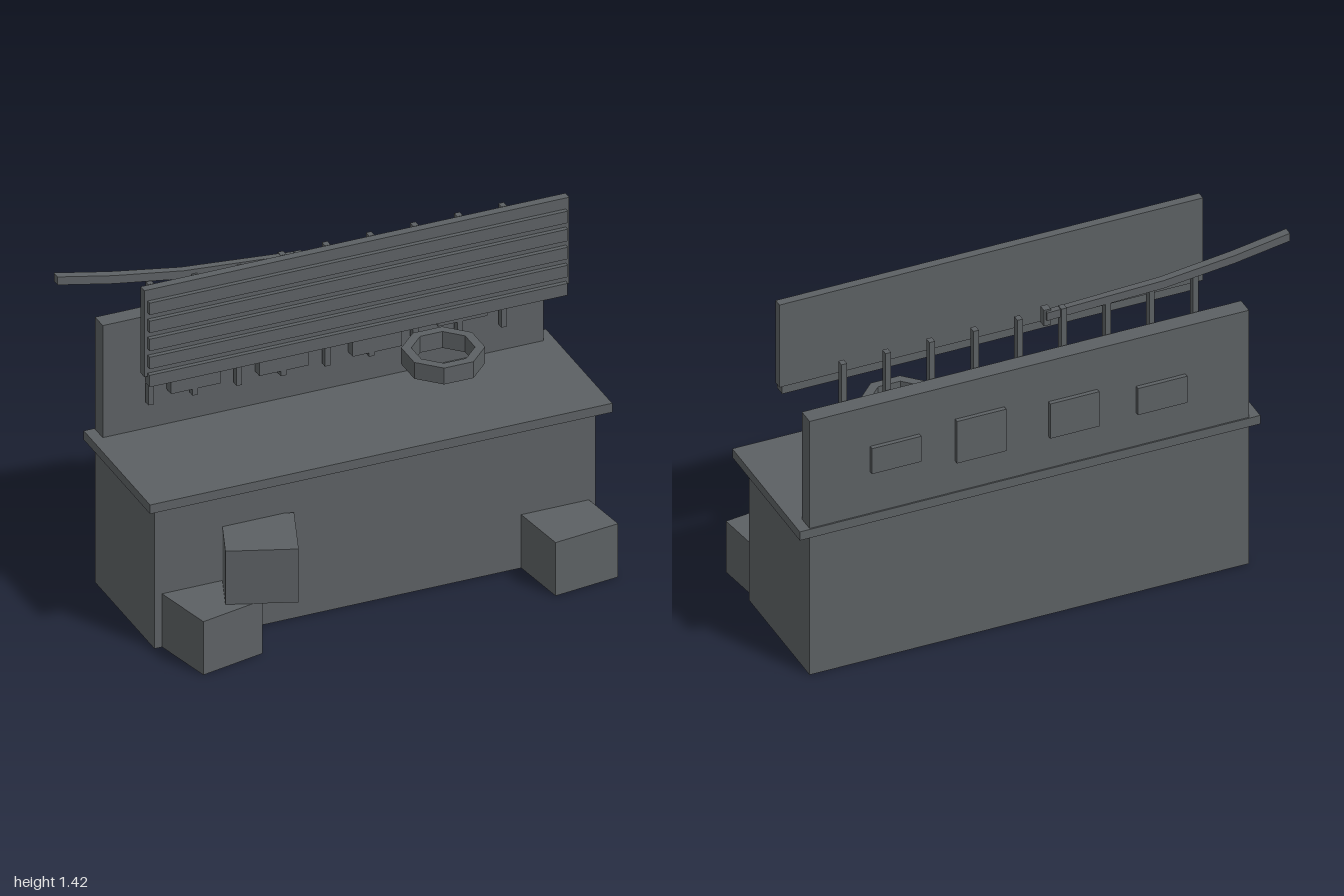
import * as THREE from 'three';

const grey = new THREE.MeshStandardMaterial({ color: 0x5c6063 });
grey.name = 'slateGrey';

export function createModel() {
  const model = new THREE.Group();
  model.name = 'marketStall';

  const add = (name, geometry) => {
    const mesh = new THREE.Mesh(geometry, grey);
    mesh.name = name;
    model.add(mesh);
    return mesh;
  };
  // Box given by its limits on each axis
  const box = (name, x0, x1, y0, y1, z0, z1) => {
    const mesh = add(name, new THREE.BoxGeometry(x1 - x0, y1 - y0, z1 - z0));
    mesh.position.set((x0 + x1) / 2, (y0 + y1) / 2, (z0 + z1) / 2);
    return mesh;
  };

  // Counter and rear wall
  box('counterBase', -0.812, 0.956, 0, 0.604, -0.394, 0.142);
  box('counterTop', -0.855, 0.998, 0.609, 0.647, -0.4, 0.2);
  box('rearWall', -0.812, 0.956, 0.604, 1.12, -0.394, -0.325);

  // Hanging board with horizontal slats
  box('hangingBoard', -0.78, 0.924, 1.054, 1.418, -0.056, -0.022);
  for (let i = 0; i < 5; i++) {
    const y = 1.042 + i * 0.0762;
    box('boardSlat', -0.766, 0.91, y - 0.025, y + 0.025, -0.049, -0.004);
  }

  // Row of thin uprights in front of the wall
  for (let i = 0; i < 9; i++) {
    const x = -0.635 + i * 0.1769;
    box('upright', x - 0.011, x + 0.011, 0.765, 1.275, -0.314, -0.286);
  }

  // Plaques passing through the wall: left, right, bottom, top
  [
    [-0.556, -0.358, 0.793, 0.91],
    [-0.202, -0.005, 0.787, 0.94],
    [0.172, 0.37, 0.782, 0.967],
    [0.514, 0.712, 0.83, 0.942],
  ].forEach(([x0, x1, y0, y1]) => box('wallPlaque', x0, x1, y0, y1, -0.411, -0.284));

  // Bent bar: square sections [x, y, z, width] swept along x
  const sections = [
    [-1, 1.36, -0.327, 0.034], [-0.78, 1.318, -0.32, 0.034],
    [-0.5, 1.278, -0.31, 0.03], [-0.04, 1.25, -0.293, 0.024],
  ];
  const bar = new THREE.BoxGeometry(1, 1, 1, sections.length - 1, 1, 1);
  const p = bar.attributes.position;
  for (let i = 0; i < p.count; i++) {
    const [x, y, z, w] = sections[Math.round((p.getX(i) + 0.5) * (sections.length - 1))];
    p.setXYZ(i, x, y + p.getY(i) * 0.034, z + p.getZ(i) * w);
  }
  bar.computeVertexNormals();
  add('bentBar', bar);
  box('barEndBlock', -0.06, -0.032, 1.205, 1.275, -0.295, -0.263);

  // Octagonal ring above the counter
  const octagon = (target, apothem) => {
    const points = [];
    for (let i = 0; i < 8; i++) {
      const a = (i + 0.5) * Math.PI / 4, r = apothem / Math.cos(Math.PI / 8);
      points.push(new THREE.Vector2(Math.cos(a) * r, Math.sin(a) * r));
    }
    return target.setFromPoints(points);
  };
  const ringShape = octagon(new THREE.Shape(), 0.142);
  ringShape.holes.push(octagon(new THREE.Path(), 0.108));
  const ring = add('octagonalRing', new THREE.ExtrudeGeometry(ringShape, { depth: 0.069, bevelEnabled: false }));
  ring.rotation.x = -Math.PI / 2;
  ring.position.set(0.438, 0.805, -0.066);

  // Crates: centre x, base y, centre z, turn
  [
    [-0.624, 0, 0.232, 0.216],
    [0.806, 0, 0.231, 0.13],
    [-0.43, 0.227, 0.233, -0.355],
  ].forEach(([x, y, z, turn]) => {
    const crate = add('crate', new THREE.BoxGeometry(0.269, 0.225, 0.269));
    crate.position.set(x, y + 0.1125, z);
    crate.rotation.y = turn;
  });

  return model;
}
